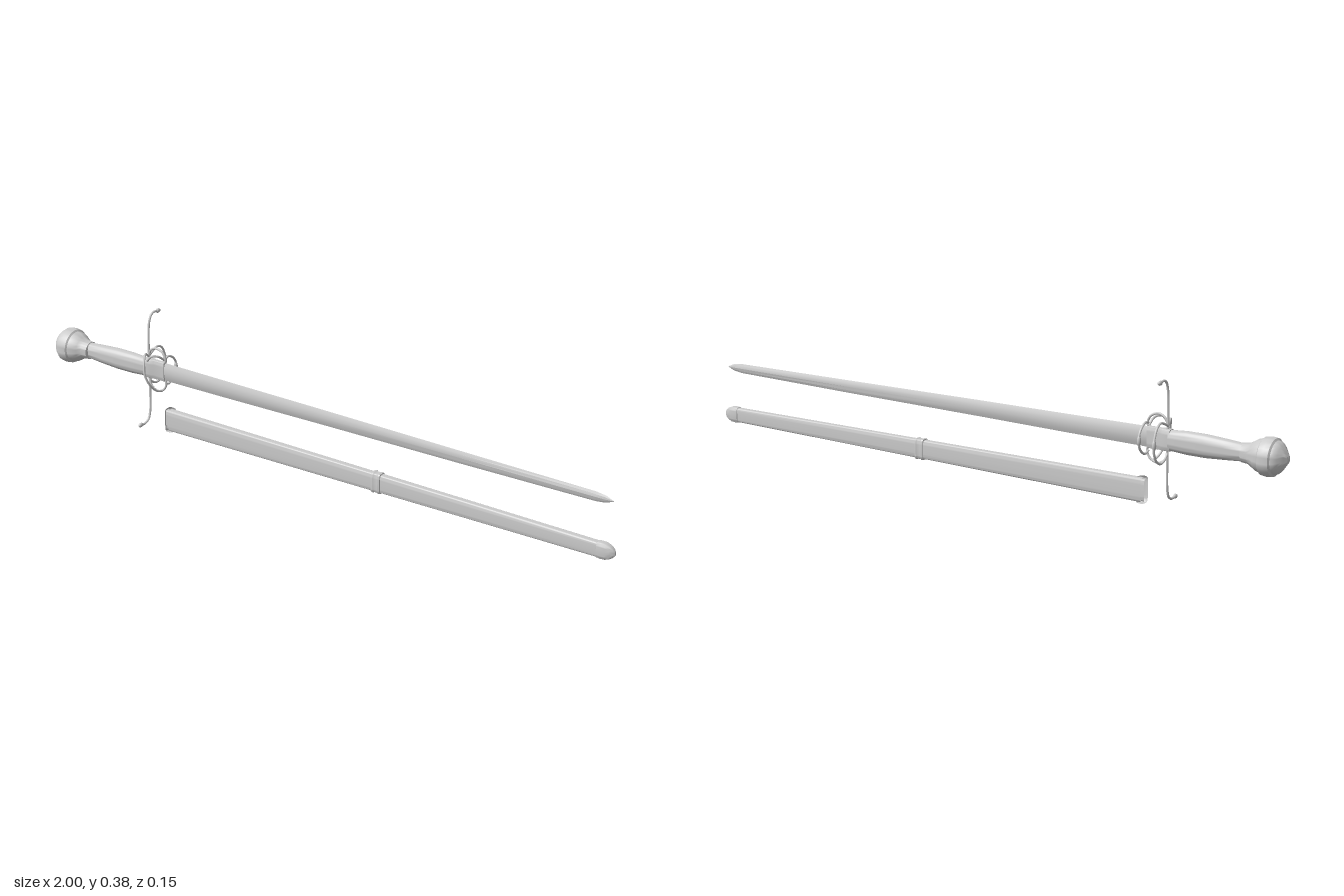
import * as THREE from 'three';
import { toCreasedNormals } from 'three/addons/utils/BufferGeometryUtils.js';

const grey = new THREE.MeshStandardMaterial({ color: 0xcccccc });
const AXIS_Y = 0.2, AXIS_Z = 0.013;

function add(parent, name, geometry) {
  const mesh = new THREE.Mesh(geometry, grey);
  mesh.name = name;
  parent.add(mesh);
  return mesh;
}

// Cross-sections [x, centreY, halfY, halfZ] joined along x; outline returns [y, z] in the unit square
function loft(sections, outline, crease = 0.6) {
  const pos = [], idx = [], n = outline.length;
  for (const [x, cy, hy, hz] of sections)
    for (const [y, z] of outline) pos.push(x, cy + y * hy, z * hz);
  for (let i = 0; i < sections.length - 1; i++)
    for (let j = 0; j < n; j++) {
      const a = i * n + j, b = i * n + (j + 1) % n, c = a + n, d = b + n;
      idx.push(a, b, c, b, d, c);
    }
  const g = new THREE.BufferGeometry();
  g.setAttribute('position', new THREE.Float32BufferAttribute(pos, 3));
  g.setIndex(idx);
  return toCreasedNormals(g, crease);
}

// Rounded outline: power 2 is an ellipse, higher is boxier
function superellipse(power, n = 32) {
  const f = v => Math.sign(v) * Math.abs(v) ** (2 / power);
  return Array.from({ length: n }, (_, i) => {
    const a = i / n * Math.PI * 2;
    return [f(Math.cos(a)), f(Math.sin(a))];
  });
}

// Round bar through points
function bar(parent, name, points, radius = 0.0035) {
  const curve = new THREE.CatmullRomCurve3(points.map(p => new THREE.Vector3(...p)));
  return add(parent, name, new THREE.TubeGeometry(curve, 48, radius, 8));
}

// Small swelling on a bar
function knob(parent, name, at, scale) {
  const mesh = add(parent, name, new THREE.SphereGeometry(1, 16, 12));
  mesh.position.set(...at);
  mesh.scale.set(...scale);
}

function createSword() {
  const sword = new THREE.Group();
  sword.name = 'sword';
  sword.position.set(0, AXIS_Y, AXIS_Z);

  // Blade: flattened diamond with a short point
  const blade = [[1, 0], [0.55, 0.7], [0, 1], [-0.55, 0.7], [-1, 0], [-0.55, -0.7], [0, -1], [0.55, -0.7]];
  add(sword, 'blade', loft([
    [-0.64, 0, 0.031, 0.007], [-0.3, 0, 0.028, 0.0068], [0, 0.001, 0.025, 0.0062], [0.5, 0.001, 0.02, 0.0055],
    [0.93, 0.002, 0.015, 0.005], [0.96, 0.002, 0.011, 0.004], [0.985, 0.002, 0.0003, 0.0003],
  ], blade, 0.3));

  // Grip swells gently in the middle
  const oval = superellipse(2.2);
  add(sword, 'grip', loft([
    [-0.9, 0, 0.026, 0.021], [-0.86, 0, 0.026, 0.02], [-0.81, 0, 0.03, 0.022], [-0.75, 0, 0.034, 0.022],
    [-0.69, 0, 0.034, 0.02], [-0.635, 0, 0.03, 0.017], [-0.625, 0, 0.0005, 0.0005],
  ], oval));

  // Pommel turned in stepped rings
  const profile = [
    [0, -1], [0.012, -0.999], [0.02, -0.993], [0.027, -0.988], [0.037, -0.981], [0.045, -0.973], [0.048, -0.965],
    [0.054, -0.961], [0.056, -0.945], [0.054, -0.929], [0.049, -0.925], [0.045, -0.91], [0.037, -0.897],
    [0.03, -0.885], [0.028, -0.865], [0.02, -0.862],
  ].map(p => new THREE.Vector2(...p));
  const pommel = add(sword, 'pommel', toCreasedNormals(new THREE.LatheGeometry(profile, 40), 0.6));
  pommel.rotation.z = -Math.PI / 2;

  // Collar around the root of the blade
  const collar = superellipse(5);
  add(sword, 'collar', loft([
    [-0.64, 0, 0.001, 0.001], [-0.64, 0, 0.032, 0.014], [-0.615, 0, 0.032, 0.014],
    [-0.605, 0, 0.032, 0.009], [-0.565, 0, 0.032, 0.009], [-0.565, 0, 0.001, 0.001],
  ], collar));

  // Crossguard: upper end curls back, lower end curls forward
  const gx = -0.628;
  bar(sword, 'crossguard', [
    [gx, 0.174, -0.05], [gx, 0.177, -0.035], [gx, 0.173, -0.019], [gx, 0.152, -0.007], [gx, 0.1, -0.001],
    [gx, 0, 0], [gx, -0.1, 0.001], [gx, -0.15, 0.005], [gx, -0.173, 0.015], [gx, -0.181, 0.032], [gx, -0.18, 0.05],
  ], 0.0036);
  knob(sword, 'upperGuardKnob', [gx, 0.174, -0.052], [0.006, 0.007, 0.01]);
  knob(sword, 'lowerGuardKnob', [gx, -0.179, 0.053], [0.006, 0.007, 0.01]);

  // Finger rings above and below the blade root
  for (const [name, s] of [['upperFingerRing', 1], ['lowerFingerRing', -1]])
    bar(sword, name, [
      [gx, 0.035 * s, 0], [-0.62, 0.06 * s, 0.001], [-0.598, 0.072 * s, 0.001],
      [-0.573, 0.062 * s, 0], [-0.563, 0.042 * s, 0], [-0.567, 0.025 * s, 0],
    ]);

  // Rear side rings, each with a swelling at the middle
  bar(sword, 'largeRearRing', [
    [gx, 0.04, 0], [gx, 0.05, -0.02], [gx, 0.057, -0.043], [gx, 0.045, -0.065], [gx, 0.02, -0.077], [gx, 0, -0.082],
    [gx, -0.025, -0.078], [gx, -0.05, -0.063], [gx, -0.062, -0.038], [gx, -0.055, -0.015], [gx, -0.04, 0],
  ]);
  knob(sword, 'largeRearRingKnob', [gx, 0, -0.079], [0.006, 0.016, 0.007]);
  bar(sword, 'smallRearRing', [
    [-0.567, 0.04, 0], [-0.567, 0.046, -0.018], [-0.567, 0.036, -0.04], [-0.567, 0.015, -0.055],
    [-0.567, -0.015, -0.055], [-0.567, -0.036, -0.04], [-0.567, -0.046, -0.018], [-0.567, -0.04, 0],
  ]);
  knob(sword, 'smallRearRingKnob', [-0.567, 0, -0.056], [0.006, 0.015, 0.006]);

  // Front loops sweeping across from the finger rings
  bar(sword, 'frontLoop', [
    [gx, 0.04, 0.003], [-0.622, 0.055, 0.025], [-0.612, 0.038, 0.045], [-0.603, 0, 0.055],
    [-0.593, -0.038, 0.042], [-0.585, -0.062, 0.02], [-0.58, -0.068, 0],
  ]);
  bar(sword, 'frontBrace', [
    [-0.57, 0.035, -0.005], [-0.575, 0.055, 0.018], [-0.59, 0.058, 0.034], [-0.605, 0.042, 0.036],
    [-0.618, 0.033, 0.018], [gx, 0.03, 0.003],
  ]);
  return sword;
}

function createScabbard() {
  const scabbard = new THREE.Group();
  scabbard.name = 'scabbard';
  scabbard.position.z = 0.0145;
  const box = superellipse(5, 40);

  // Body at x: centre and half height follow a straight taper
  const at = (x, grow = 0) => {
    const t = (x + 0.56) / 1.51;
    return [x, 0.04 + 0.005 * t, 0.036 - 0.013 * t + grow, 0.0125 - 0.001 * t + grow];
  };
  add(scabbard, 'scabbardBody', loft([at(-0.55), at(0), at(0.5), at(0.97)], box));

  // Throat: a raised rim with a recessed mouth
  add(scabbard, 'throat', loft([
    at(-0.535, -0.001), at(-0.538, 0.003), at(-0.545, 0.004), at(-0.556, 0.004), at(-0.56, 0.002),
    at(-0.56, -0.003), at(-0.535, -0.004), [-0.535, 0.04, 0.0005, 0.0005],
  ], box));

  // Middle band with raised edges
  add(scabbard, 'middleBand', loft([
    at(0.207, -0.001), at(0.208, 0.003), at(0.214, 0.004), at(0.218, 0.002),
    at(0.228, 0.002), at(0.232, 0.004), at(0.238, 0.003), at(0.239, -0.001),
  ], box));

  // Rounded end cap
  add(scabbard, 'endCap', loft([
    at(0.944, -0.001), at(0.946, 0.002), [0.958, 0.045, 0.026, 0.0145], [0.972, 0.045, 0.025, 0.014],
    [0.985, 0.045, 0.02, 0.0115], [0.994, 0.045, 0.014, 0.008], [1, 0.045, 0.006, 0.004], [1, 0.045, 0.0003, 0.0003],
  ], superellipse(3.5, 40)));
  return scabbard;
}

export function createModel() {
  const model = new THREE.Group();
  model.name = 'swordAndScabbard';
  model.add(createSword(), createScabbard());
  return model;
}
